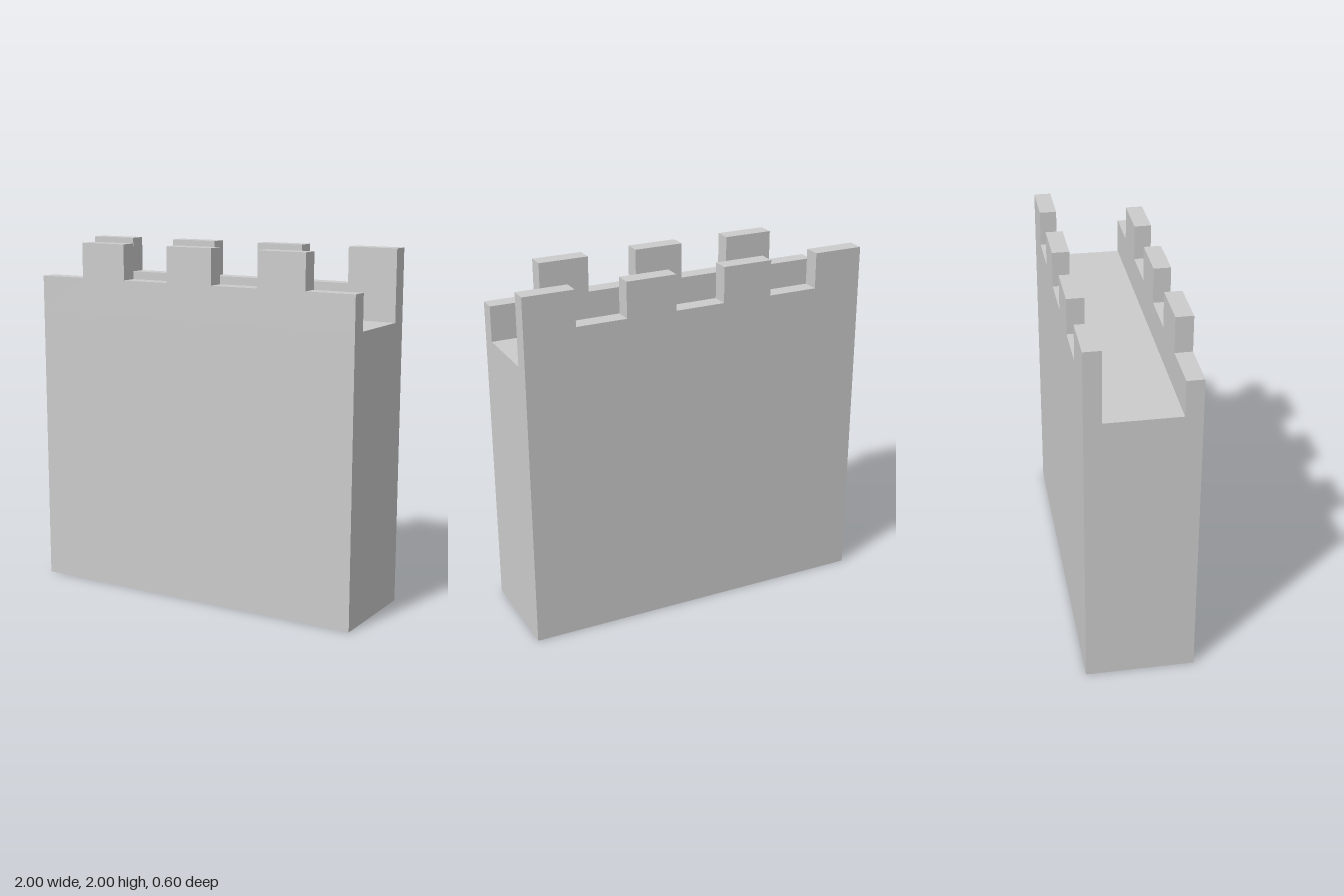
import * as THREE from 'three';

const WIDTH = 2, HALF_DEPTH = 0.3, WALK_Y = 1.6, CRENEL_Y = 1.8, TOP_Y = 2;
const THICK = 0.095, SEGMENTS = 7;

const stone = new THREE.MeshStandardMaterial({ color: 0xcccccc, flatShading: true, side: THREE.DoubleSide });

function addMesh(parent, name, geometry) {
  const mesh = new THREE.Mesh(geometry, stone);
  mesh.name = name;
  parent.add(mesh);
  return mesh;
}

// Toothed wall outline; odd or even segments rise to full height
function parapetGeometry(raisedParity) {
  const step = WIDTH / SEGMENTS;
  const shape = new THREE.Shape();
  shape.moveTo(-WIDTH / 2, WALK_Y);
  shape.lineTo(WIDTH / 2, WALK_Y);
  for (let i = SEGMENTS - 1; i >= 0; i--) {
    const y = i % 2 === raisedParity ? TOP_Y : CRENEL_Y;
    shape.lineTo(-WIDTH / 2 + (i + 1) * step, y);
    shape.lineTo(-WIDTH / 2 + i * step, y);
  }
  return new THREE.ExtrudeGeometry(shape, { depth: THICK, bevelEnabled: false });
}

export function createModel() {
  const model = new THREE.Group();
  model.name = 'castleWall';

  // Hollow body, open underneath: four thin sides
  const body = new THREE.Group();
  body.name = 'wallBody';
  model.add(body);
  const sides = [
    ['frontFace', WIDTH, 0, HALF_DEPTH, 0],
    ['leftFace', HALF_DEPTH * 2, WIDTH / 2, 0, Math.PI / 2],
    ['backFace', WIDTH, 0, -HALF_DEPTH, Math.PI],
    ['rightFace', HALF_DEPTH * 2, -WIDTH / 2, 0, -Math.PI / 2],
  ];
  for (const [name, width, x, z, turn] of sides) {
    const face = addMesh(body, name, new THREE.PlaneGeometry(width, WALK_Y));
    face.position.set(x, WALK_Y / 2, z);
    face.rotation.y = turn;
  }

  // Walkway between the parapets
  const walkway = addMesh(model, 'walkway', new THREE.PlaneGeometry(WIDTH, 2 * (HALF_DEPTH - THICK)));
  walkway.rotation.x = -Math.PI / 2;
  walkway.position.y = WALK_Y;

  // Parapets with alternating merlons: three in front, four at the back
  addMesh(model, 'frontParapet', parapetGeometry(1)).position.z = HALF_DEPTH - THICK;
  addMesh(model, 'backParapet', parapetGeometry(0)).position.z = -HALF_DEPTH;

  return model;
}
